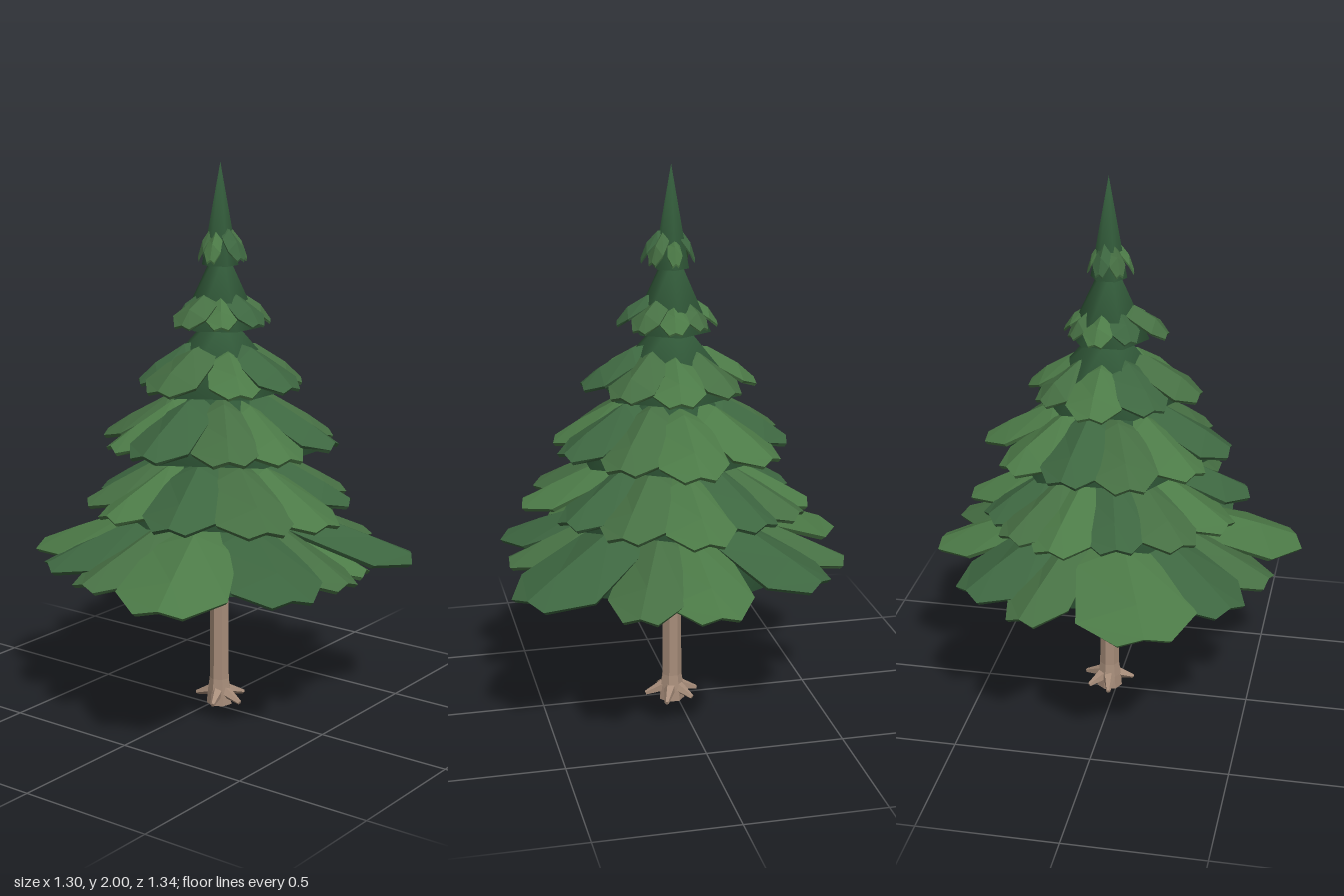
import * as THREE from 'three';
import { mergeVertices } from 'three/addons/utils/BufferGeometryUtils.js';

const CX = 0.02, CZ = -0.03; // trunk axis
const paint = (color, flatShading = true) => new THREE.MeshStandardMaterial({ color, flatShading });
const needleGreens = [paint(0x4c7a47), paint(0x3d6640), paint(0x466f43)];
const coreGreen = paint(0x335c3b, false);
const bark = paint(0xa78d7a);

function add(parent, name, geometry, material) {
  const mesh = new THREE.Mesh(geometry, material);
  mesh.name = name;
  parent.add(mesh);
  return mesh;
}

// Six-sided closed cone whose normals run smoothly over every edge
function softCone(top, bottom, height) {
  const cone = new THREE.CylinderGeometry(top, bottom, height, 6);
  cone.deleteAttribute('normal');
  cone.deleteAttribute('uv');
  const soft = mergeVertices(cone, 1e-4);
  soft.computeVertexNormals();
  return soft;
}

// Drooping ridged bough pointing along +z, lofted from six-point sections.
// bend 0 slopes evenly, bend 1 stays level and then drops at the tip.
function boughGeometry(length, height, width, bend) {
  // distance, ridge height, half width, edge droop (as fractions)
  const stations = [
    [0.14, 1.0, 0.07, 0.08],
    [0.44, 0.87 + 0.11 * bend, 0.2, 0.26],
    [0.8, 0.43 + 0.22 * bend, 0.25, 0.24],
    [1.0, 0.16 + 0.06 * bend, 0.11, 0.08],
  ];
  const thick = 0.06 * height;
  const sections = stations.map(([t, h, w, d]) => {
    const z = t * length, y = h * height, x = w * width * length, e = y - d * height;
    const under = z * 0.98;
    return [[-x, e, z], [0, y, z], [x, e, z],
      [x * 0.94, e - thick, under], [0, y - thick, under], [-x * 0.94, e - thick, under]];
  });
  const pos = [];
  const quad = (a, b, c, d) => pos.push(...a, ...b, ...c, ...a, ...c, ...d);
  for (let k = 0; k < sections.length - 1; k++) {
    const a = sections[k], b = sections[k + 1];
    for (let i = 0; i < 6; i++) {
      const j = (i + 1) % 6;
      quad(a[i], b[i], b[j], a[j]);
    }
  }
  // blunt tip
  const e = sections[sections.length - 1];
  quad(e[0], e[5], e[4], e[1]);
  quad(e[1], e[4], e[3], e[2]);
  const g = new THREE.BufferGeometry();
  g.setAttribute('position', new THREE.Float32BufferAttribute(pos, 3));
  g.computeVertexNormals();
  return g;
}

// One layer: core with a ring of boughs aimed at the given tips (x, z, relative width).
function tier(name, { base, height, core, coreTop, neck, width, bend }, tips) {
  const group = new THREE.Group();
  group.name = name;
  group.position.set(CX, base, CZ);
  const coreHeight = coreTop - base;
  add(group, 'core', softCone(neck, core, coreHeight), coreGreen).position.y = coreHeight / 2;
  tips.forEach(([x, z, w = 1], i) => {
    const dx = x - CX, dz = z - CZ;
    const vary = (i * 5 % 7) / 7 - 0.4;
    const geo = boughGeometry(Math.hypot(dx, dz), height * (1 + 0.05 * vary), width * w * (1 + 0.12 * vary), bend);
    const bough = add(group, 'bough', geo, needleGreens[(i * 2) % 3]);
    bough.rotation.y = Math.atan2(dx, dz);
    bough.position.y = 0.025 * height * (i % 3);
  });
  return group;
}

export function createModel() {
  const tree = new THREE.Group();
  tree.name = 'pineTree';

  // Trunk with a flared foot
  const trunk = new THREE.Group();
  trunk.name = 'trunk';
  trunk.position.set(CX, 0, CZ);
  tree.add(trunk);
  const profile = [[0, 0], [0.048, 0], [0.044, 0.05], [0.037, 0.1], [0.034, 0.6], [0, 0.6]];
  add(trunk, 'stem', new THREE.LatheGeometry(profile.map(([r, y]) => new THREE.Vector2(r, y)), 7), bark);

  // Roots
  const up = new THREE.Vector3(0, 1, 0);
  [0.35, 1.5, 2.75, 3.9, 4.85].forEach((angle, i) => {
    const reach = 0.092 + 0.006 * (i % 3);
    const from = new THREE.Vector3(0.025 * Math.sin(angle), 0.05, 0.025 * Math.cos(angle));
    const to = new THREE.Vector3(reach * Math.sin(angle), 0.022, reach * Math.cos(angle));
    const dir = to.clone().sub(from);
    const root = add(trunk, 'root', new THREE.CylinderGeometry(0.008, 0.024, dir.length(), 5), bark);
    root.position.copy(from).add(to).multiplyScalar(0.5);
    root.quaternion.setFromUnitVectors(up, dir.normalize());
  });

  // Foliage layers, bottom to top
  const tier1 = [[-0.01, -0.665, 0.95], [0.26, -0.63, 0.75], [0.605, -0.41, 1], [0.565, -0.17, 0.65],
    [0.61, 0.02, 0.75], [0.575, 0.305, 0.95], [0.265, 0.64, 1.05], [-0.115, 0.58, 0.85],
    [-0.37, 0.475, 0.9], [-0.62, 0.215, 1.15], [-0.575, -0.23, 0.75], [-0.42, -0.46, 0.95]];
  const tier2 = [[0, -0.535], [0.28, -0.43], [0.44, -0.25], [0.55, 0.06], [0.45, 0.28], [0.17, 0.46],
    [-0.13, 0.43], [-0.33, 0.3], [-0.42, 0.08], [-0.455, -0.15], [-0.38, -0.31], [-0.23, -0.42]];
  const tier3 = [[0.02, -0.48], [0.27, -0.36], [0.43, -0.16], [0.42, 0.1], [0.29, 0.28],
    [0.02, 0.41], [-0.2, 0.32], [-0.38, 0.12], [-0.38, -0.12], [-0.27, -0.34]];
  const tier4 = [[0.05, -0.32], [0.24, -0.22], [0.34, -0.02], [0.25, 0.16], [0, 0.3],
    [-0.19, 0.17], [-0.28, -0.04], [-0.16, -0.24]];
  const tier5 = [[0.04, -0.19], [0.16, -0.14], [0.21, 0], [0.13, 0.11], [0.01, 0.18],
    [-0.1, 0.07], [-0.14, -0.05], [-0.07, -0.15]];
  const tier6 = [[0.02, -0.105], [0.1, -0.08], [0.125, -0.01], [0.04, 0.055], [-0.04, 0.02], [-0.06, -0.05]];
  tree.add(
    tier('lowestBoughs', { base: 0.55, height: 0.215, core: 0.48, coreTop: 0.82, neck: 0.08, width: 1.08, bend: 0 }, tier1),
    tier('secondBoughs', { base: 0.765, height: 0.21, core: 0.42, coreTop: 1.03, neck: 0.07, width: 1.05, bend: 0 }, tier2),
    tier('thirdBoughs', { base: 0.985, height: 0.205, core: 0.38, coreTop: 1.24, neck: 0.06, width: 1.15, bend: 0.1 }, tier3),
    tier('fourthBoughs', { base: 1.2, height: 0.165, core: 0.26, coreTop: 1.45, neck: 0.04, width: 1.35, bend: 0.4 }, tier4),
    tier('fifthBoughs', { base: 1.42, height: 0.12, core: 0.145, coreTop: 1.67, neck: 0.03, width: 1.35, bend: 0.9 }, tier5),
    tier('topBoughs', { base: 1.64, height: 0.125, core: 0.065, coreTop: 1.76, neck: 0.035, width: 1.5, bend: 1 }, tier6),
  );

  // Pointed top
  add(tree, 'spire', softCone(0, 0.065, 0.36), coreGreen).position.set(CX, 1.82, CZ);
  return tree;
}
